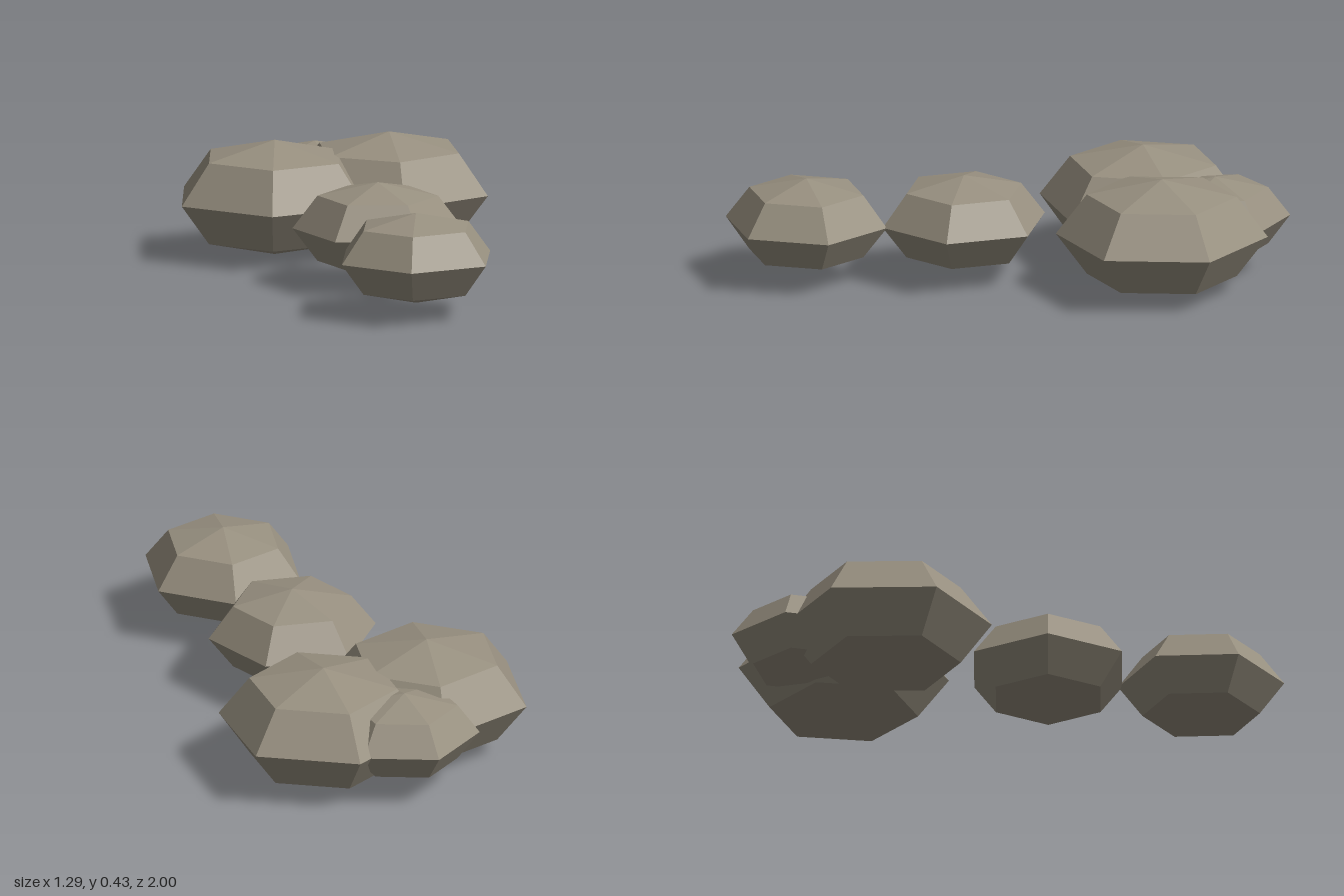
import * as THREE from 'three';

export function createModel() {
  const group = new THREE.Group();
  group.name = 'steppingStones';

  const stone = new THREE.MeshStandardMaterial({ color: 0x989080, flatShading: true });
  stone.name = 'warm grey stone';

  // Each stone is a flattened six-sided ball: name, x, z, radius, turn in degrees
  const stones = [
    ['frontStone', -0.338, 0.718, 0.308, 4],
    ['middleStone', -0.168, 0.16, 0.316, 31],
    ['leftLargeStone', 0.257, -0.467, 0.393, -7.5],
    ['rightLargeStone', -0.187, -0.55, 0.392, 2.2],
    ['backSmallStone', 0.095, -0.733, 0.279, -14.5],
  ];
  for (const [name, x, z, radius, turn] of stones) {
    const mesh = new THREE.Mesh(new THREE.SphereGeometry(radius, 6, 4), stone);
    mesh.name = name;
    mesh.scale.y = 0.55;
    mesh.rotation.y = -THREE.MathUtils.degToRad(turn);
    mesh.position.set(x, 0.218, z);
    group.add(mesh);
  }
  return group;
}
